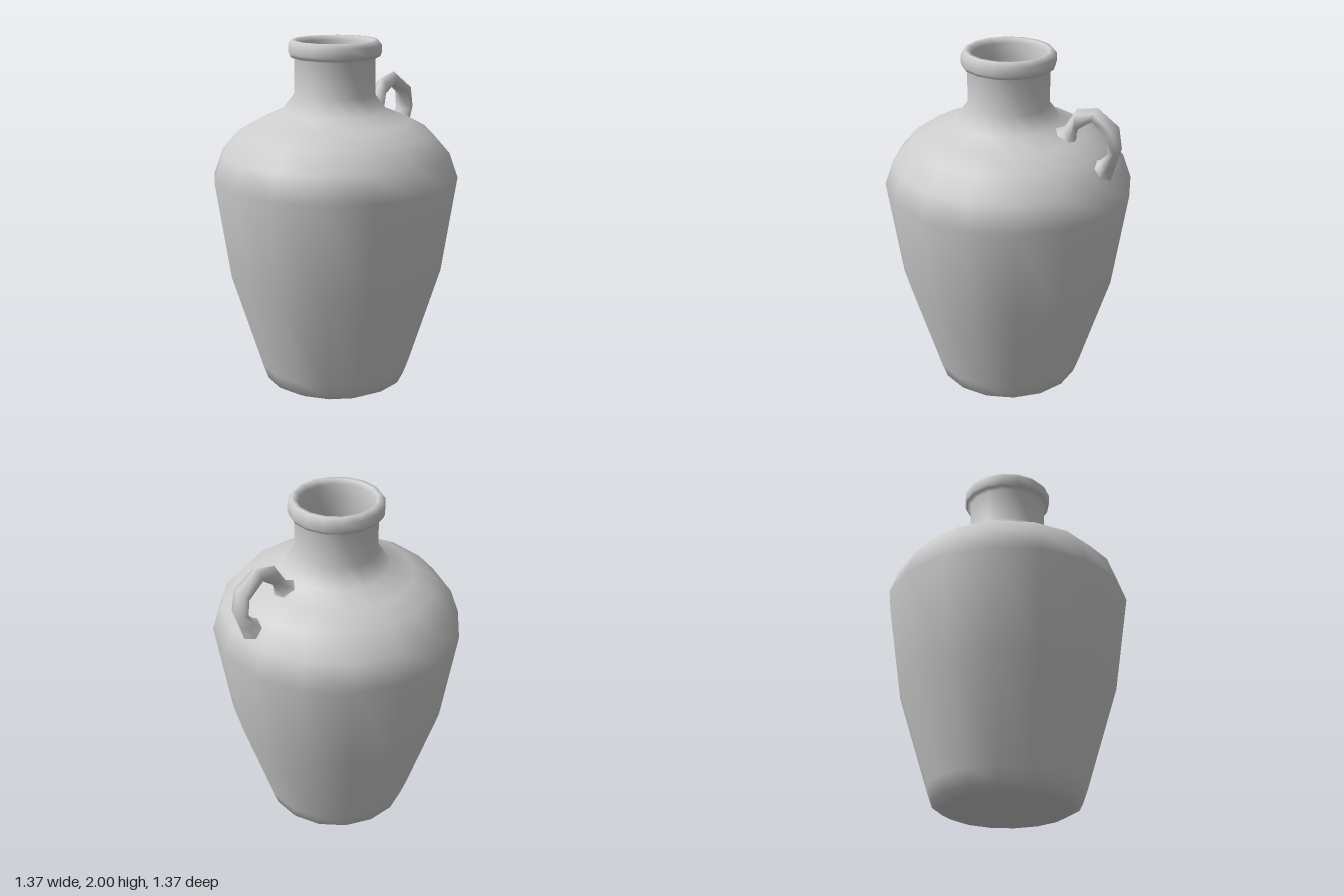
import * as THREE from 'three';

const grey = new THREE.MeshStandardMaterial({ color: 0xcccccc });

// Lofts smooth six-sided rings; station = [outer z, outer y, inner z, inner y, half width]
function loft(stations, sides = 6) {
  const pos = [], index = [];
  stations.forEach(([oz, oy, iz, iy, w], i) => {
    for (let j = 0; j < sides; j++) {
      const a = (j / sides) * Math.PI * 2, c = Math.cos(a);
      pos.push(Math.sin(a) * w * 1.15, (oy + iy) / 2 + c * (oy - iy) / 2, (oz + iz) / 2 + c * (oz - iz) / 2);
      if (i < stations.length - 1) {
        const p = i * sides + j, q = i * sides + (j + 1) % sides;
        index.push(p, q, p + sides, q, q + sides, p + sides);
      }
    }
  });
  const g = new THREE.BufferGeometry();
  g.setAttribute('position', new THREE.Float32BufferAttribute(pos, 3));
  g.setIndex(index);
  g.computeVertexNormals();
  return g;
}

export function createModel() {
  const model = new THREE.Group();
  model.name = 'jug';

  // Body: underside, wall, shoulder, neck, rolled lip, then the hollow inside
  const profile = [
    [0, 0], [0.35, 0.003], [0.41, 0.035], [0.44, 0.12], [0.613, 0.68],
    [0.695, 1.235], [0.645, 1.375], [0.543, 1.49], [0.426, 1.555], [0.295, 1.61],
    [0.226, 1.7], [0.226, 1.9], [0.25, 1.91], [0.259, 1.93], [0.259, 1.975],
    [0.24, 2], [0.218, 1.998], [0.203, 1.975], [0.2, 1.9], [0.2, 1.69],
    [0.27, 1.57], [0.51, 1.45], [0.65, 1.23], [0.57, 0.68], [0.4, 0.13], [0.33, 0.05], [0, 0.04],
  ].map(([r, y]) => new THREE.Vector2(r, y));
  const body = new THREE.Mesh(
    new THREE.LatheGeometry(profile, 16, THREE.MathUtils.degToRad(12.5)), grey);
  body.name = 'body';
  model.add(body);

  // Small loop handle on the back of the shoulder, flared at both roots
  const handle = new THREE.Mesh(loft([
    [-0.28, 1.6, -0.44, 1.52, 0.065],
    [-0.35, 1.63, -0.415, 1.555, 0.04],
    [-0.42, 1.742, -0.425, 1.625, 0.034],
    [-0.54, 1.767, -0.51, 1.687, 0.037],
    [-0.658, 1.68, -0.61, 1.618, 0.05],
    [-0.684, 1.554, -0.615, 1.528, 0.05],
    [-0.658, 1.46, -0.572, 1.485, 0.05],
    [-0.63, 1.37, -0.52, 1.46, 0.075],
  ]), grey);
  handle.name = 'handle';
  model.add(handle);

  return model;
}
